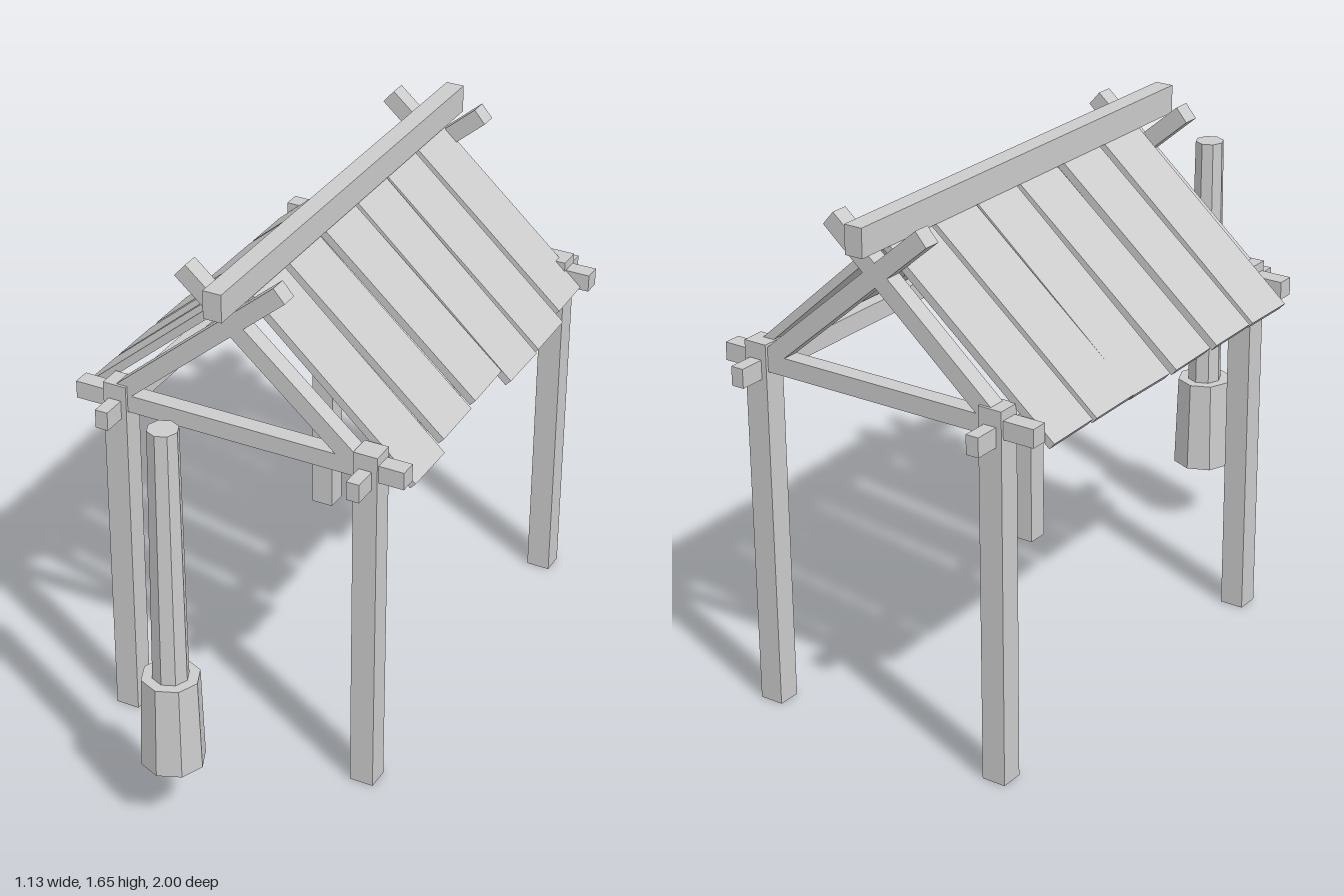
import * as THREE from 'three';

const material = new THREE.MeshStandardMaterial({ color: 0xcccccc, flatShading: true });

function add(parent, name, geometry, x, y, z) {
  const mesh = new THREE.Mesh(geometry, material);
  mesh.name = name;
  mesh.position.set(x, y, z);
  parent.add(mesh);
  return mesh;
}

// Box given by its lower and upper corner
function beam(parent, name, a, b) {
  const size = b.map((v, i) => v - a[i]);
  const mid = b.map((v, i) => (v + a[i]) / 2);
  return add(parent, name, new THREE.BoxGeometry(...size), ...mid);
}

export function createModel() {
  const model = new THREE.Group();
  model.name = 'woodenShelter';
  const postX = [-0.4, 0.437];
  const frameZ = [0.45, -0.88];

  // Posts and the beams that run front to back
  for (const x of postX) {
    for (const z of frameZ) {
      beam(model, 'post', [x - 0.039, 0, z - 0.037], [x + 0.039, 1.187, z + 0.037]);
    }
    beam(model, 'sideBeam', [x - 0.021, 1.075, -1], [x + 0.021, 1.136, 0.565]);
  }

  // Cross beams and crossed rafters at each end
  for (const z of frameZ) {
    beam(model, 'crossBeam', [-0.54, 1.1, z - 0.028], [0.557, 1.157, z + 0.028]);
    for (const [x0, y0, x1, y1] of [[-0.4, 1.148, 0.155, 1.625], [0.43, 1.113, -0.168, 1.628]]) {
      const length = Math.hypot(x1 - x0, y1 - y0);
      const rafter = add(model, 'rafter', new THREE.BoxGeometry(length, 0.056, 0.056),
        (x0 + x1) / 2, (y0 + y1) / 2, z);
      rafter.rotation.z = Math.atan2(y1 - y0, x1 - x0);
    }
  }

  // Ridge beam
  beam(model, 'ridgeBeam', [-0.025, 1.565, -0.985], [0.035, 1.655, 0.595]);

  // Roof planks, each slightly askew: middle z, twist, right length
  const planks = [
    [0.31, 0, 0.73], [0.09, 0.015, 0.7], [-0.138, 0.02, 0.69],
    [-0.348, 0, 0.73], [-0.55, 0.015, 0.725], [-0.763, 0.02, 0.69],
  ];
  const thickness = 0.026;
  for (const side of [1, -1]) {
    const slope = new THREE.Group();
    slope.name = side > 0 ? 'leftRoofSlope' : 'rightRoofSlope';
    slope.position.set(side > 0 ? 0.02 : -0.015, 1.572, 0);
    slope.rotation.z = -side * (side > 0 ? 0.738 : 0.712);
    for (const [z, twist, rightLength] of planks) {
      const length = side > 0 ? rightLength : 0.726;
      const plank = add(slope, 'roofPlank', new THREE.BoxGeometry(length, thickness, 0.193),
        side * length / 2, -thickness / 2, z - side * twist * length / 2);
      plank.rotation.y = twist;
    }
    model.add(slope);
  }

  // Free-standing mallet: eight-sided head below, slim tapered handle above
  const mallet = new THREE.Group();
  mallet.name = 'mallet';
  mallet.position.set(0.018, 0, 0.9);
  add(mallet, 'malletHead', new THREE.CylinderGeometry(0.09, 0.1, 0.305, 8), 0, 0.3825, 0);
  add(mallet, 'malletHandle', new THREE.CylinderGeometry(0.047, 0.056, 0.845, 8), 0, 0.9575, 0);
  model.add(mallet);

  return model;
}
